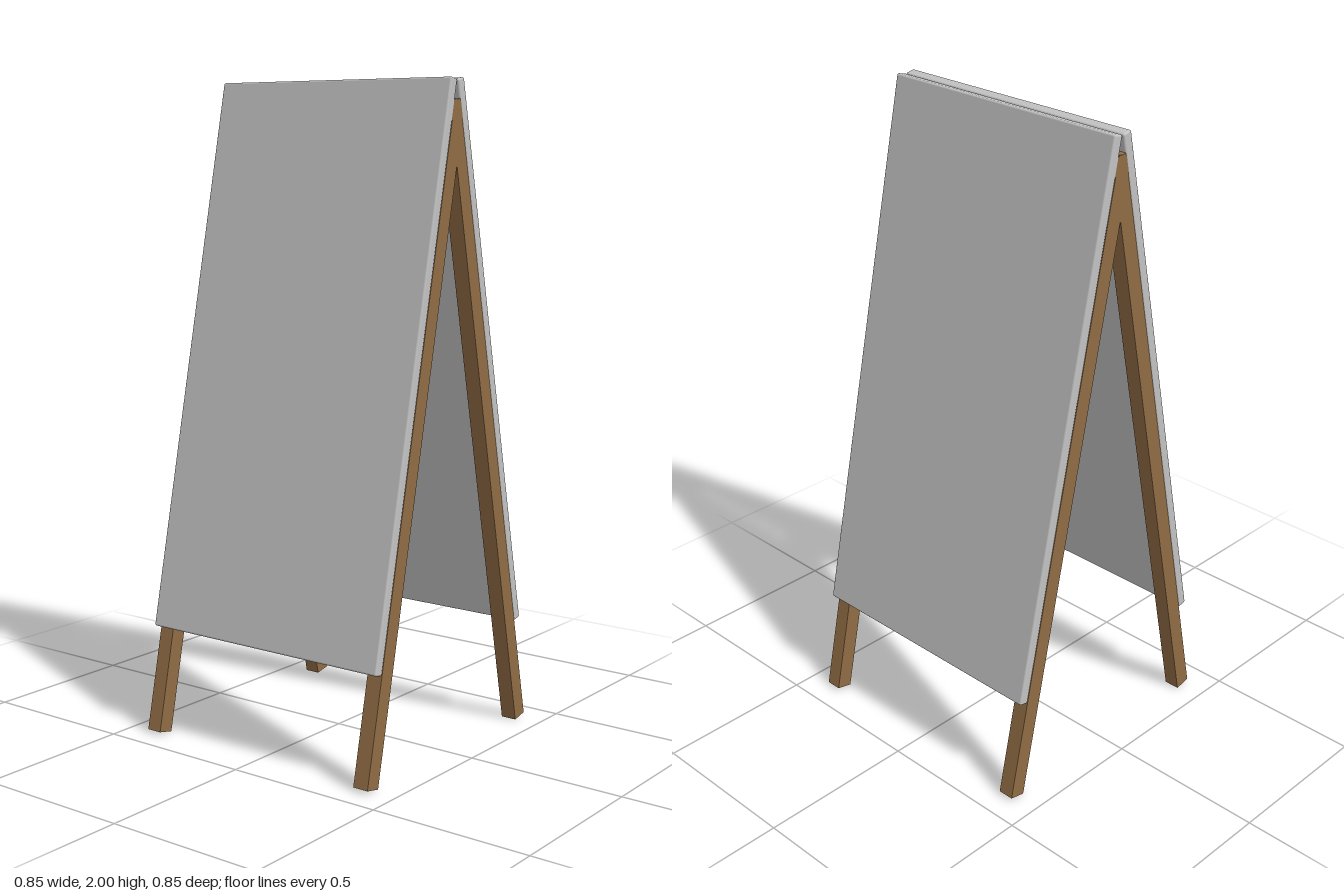
import * as THREE from 'three';
import { RoundedBoxGeometry } from 'three/addons/geometries/RoundedBoxGeometry.js';

const TILT = THREE.MathUtils.degToRad(12);
const WIDTH = 0.85;
const PANEL_LENGTH = 1.702, PANEL_DEPTH = 0.032;
const LEG_TOP = 0.055, LEG_END = 2.028, LEG_WIDTH = 0.05, LEG_DEPTH = 0.052;

export function createModel() {
  const boardGrey = new THREE.MeshStandardMaterial({ color: 0xc2c2c2 });
  boardGrey.name = 'boardGrey';
  const wood = new THREE.MeshStandardMaterial({ color: 0x906c44 });
  wood.name = 'wood';

  const panelGeometry = new RoundedBoxGeometry(WIDTH, PANEL_LENGTH, PANEL_DEPTH, 3, 0.006);
  const legGeometry = new THREE.BoxGeometry(LEG_WIDTH, LEG_END - LEG_TOP, LEG_DEPTH);

  // One leaning half: the origin is the outer top edge of its panel
  function makeHalf(name) {
    const lean = new THREE.Group();
    lean.position.set(0, 2, 0.033);
    lean.rotation.x = -TILT;

    const panel = new THREE.Mesh(panelGeometry, boardGrey);
    panel.name = 'panel';
    panel.position.set(0, -PANEL_LENGTH / 2, -PANEL_DEPTH / 2);
    lean.add(panel);

    // Legs sit behind the panel, just inside its side edges
    for (const side of [1, -1]) {
      const leg = new THREE.Mesh(legGeometry, wood);
      leg.name = side > 0 ? 'leftLeg' : 'rightLeg';
      leg.position.set(
        side * (WIDTH / 2 - LEG_WIDTH / 2 - 0.001),
        -(LEG_TOP + LEG_END) / 2,
        -PANEL_DEPTH - LEG_DEPTH / 2
      );
      lean.add(leg);
    }

    const half = new THREE.Group();
    half.name = name;
    half.add(lean);
    return half;
  }

  const model = new THREE.Group();
  model.name = 'sandwichBoard';
  const front = makeHalf('frontHalf');
  const back = makeHalf('backHalf');
  back.rotation.y = Math.PI;
  model.add(front, back);
  return model;
}
